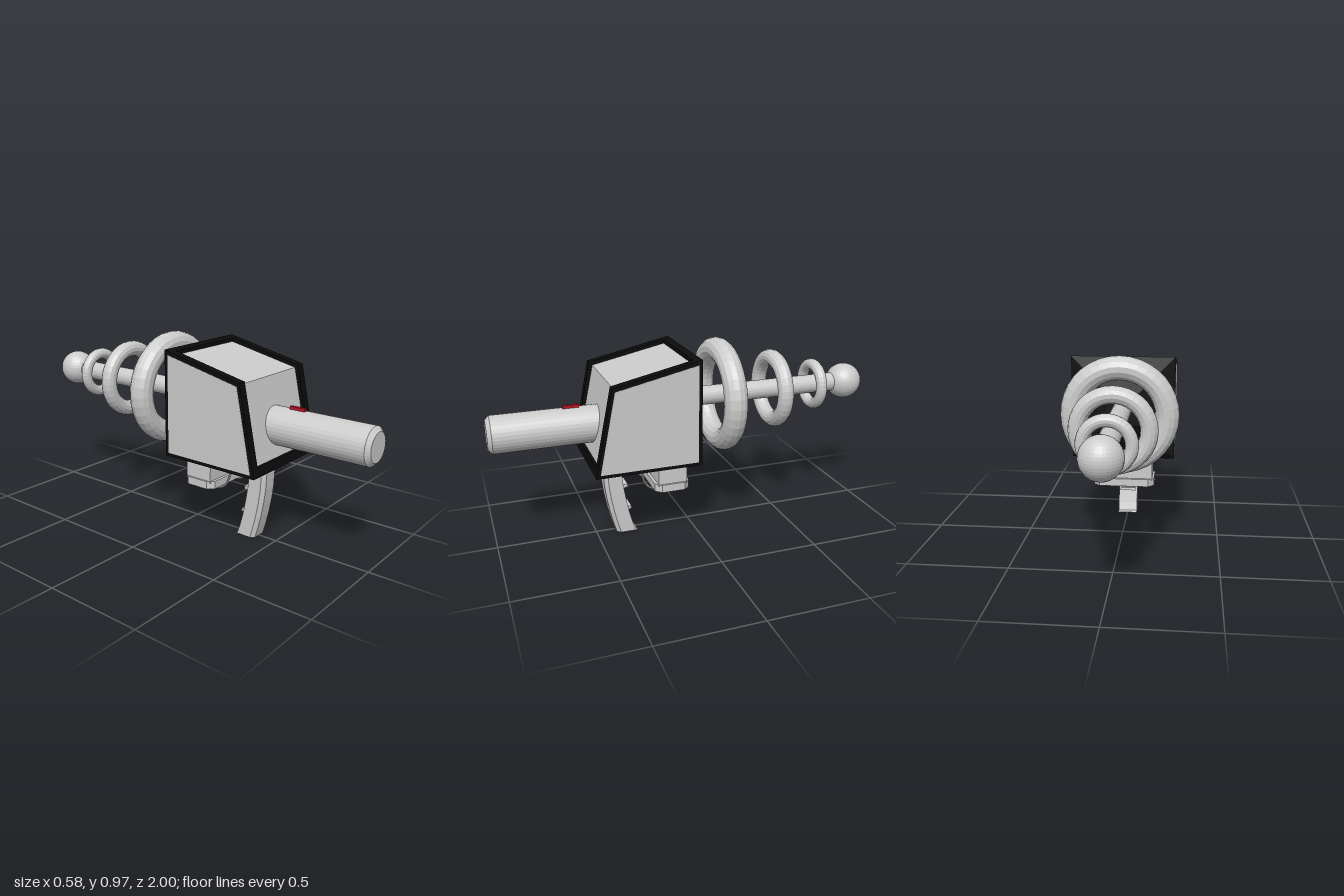
import * as THREE from 'three';

const mat = (color) => new THREE.MeshStandardMaterial({ color, flatShading: true });

export function createModel() {
  const group = new THREE.Group();
  const grey = mat(0xcccccc), black = mat(0x0b0b0b), red = mat(0xbb1122);

  const add = (name, geo, material, x = 0, y = 0, z = 0) => {
    const mesh = new THREE.Mesh(geo, material);
    mesh.name = name;
    mesh.position.set(x, y, z);
    group.add(mesh);
    return mesh;
  };
  const box = (name, m, w, h, d, x, y, z) => add(name, new THREE.BoxGeometry(w, h, d), m, x, y, z);
  // side profile given as [z, y] points, extruded across x and centred on x = 0
  const slab = (points, width) => {
    const shape = new THREE.Shape(points.map(([z, y]) => new THREE.Vector2(z, y)));
    const geo = new THREE.ExtrudeGeometry(shape, { depth: width, bevelEnabled: false });
    return geo.rotateY(-Math.PI / 2).translate(width / 2, 0, 0);
  };
  // lathe profile of [radius, z] points, turned around the z axis
  const turned = (points, sides) =>
    new THREE.LatheGeometry(points.map(([r, z]) => new THREE.Vector2(r, z)), sides).rotateX(Math.PI / 2);

  // Body: black frame with grey panels
  const outer = [[0.54, 0.413], [0.45, 0.845], [0.015, 0.94], [0.015, 0.413]];
  const panel = [[0.52, 0.43], [0.438, 0.828], [0.033, 0.917], [0.033, 0.43]];
  const core = [[0.517, 0.45], [0.433, 0.83], [0.04, 0.915], [0.04, 0.45]];
  for (const s of [-1, 1]) {
    add('sideFrame', slab(outer, 0.043), black, s * 0.2435);
    add('sidePanel', slab(panel, 0.004), grey, s * 0.2645);
  }
  add('bodyCore', slab(core, 0.444), grey);
  add('bottomPlate', slab([[0.54, 0.413], [0.531, 0.455], [0.015, 0.455], [0.015, 0.413]], 0.446), black);
  add('backPlate', slab([[0.05, 0.413], [0.05, 0.932], [0.015, 0.94], [0.015, 0.413]], 0.446), black);
  const bulge = new THREE.CylinderGeometry(0.12, 0.374, 0.033, 4, 1).rotateY(Math.PI / 4).rotateX(-Math.PI / 2);
  add('backBulge', bulge, black, 0, 0.676, -0.0015);

  // Barrel and sight
  add('barrel', turned([[0, 0.42], [0.093, 0.42], [0.093, 0.98], [0.071, 1], [0, 1]], 32), grey, 0, 0.598);
  box('sight', red, 0.017, 0.02, 0.08, 0, 0.695, 0.595);

  // Rear rod with ball and rings
  add('rod', new THREE.CylinderGeometry(0.049, 0.049, 0.87, 24).rotateX(Math.PI / 2), grey, 0, 0.68, -0.425);
  add('ball', new THREE.SphereGeometry(0.094, 32, 20), grey, 0, 0.68, -0.906);
  for (const [z, R, r] of [[-0.172, 0.233, 0.059], [-0.476, 0.164, 0.041], [-0.715, 0.106, 0.029]]) {
    add('ring', new THREE.TorusGeometry(R, r, 14, 36), grey, 0, 0.68, z);
  }

  // Curved handle: stations of [y, front z, back z] with chamfered front edges
  const stations = [[0.43, 0.459, 0.357], [0.35, 0.458, 0.367], [0.27, 0.454, 0.361], [0.2, 0.445, 0.35],
    [0.12, 0.43, 0.335], [0.05, 0.413, 0.317], [0.008, 0.401, 0.303], [0, 0.399, 0.29]];
  const w = 0.052, c = 0.035;
  const loops = stations.map(([y, f, b]) => [
    [-w, y, b], [-w, y, f - 0.02], [-c, y, f], [c, y, f], [w, y, f - 0.02], [w, y, b]]);
  const verts = [];
  for (let j = 0; j < loops.length - 1; j++) {
    const up = loops[j], low = loops[j + 1];
    for (let i = 0; i < 6; i++) {
      const k = (i + 1) % 6;
      verts.push(low[i], low[k], up[k], low[i], up[k], up[i]);
    }
  }
  const end = loops[loops.length - 1];
  for (let i = 1; i < 5; i++) verts.push(end[0], end[i + 1], end[i]);
  const handle = new THREE.BufferGeometry();
  handle.setAttribute('position', new THREE.Float32BufferAttribute(verts.flat(), 3));
  handle.computeVertexNormals();
  add('handle', handle, grey);

  // Finger grips on the back of the handle
  for (const [y, z, h] of [[0.385, 0.352, 0.045], [0.255, 0.348, 0.018], [0.13, 0.332, 0.016]]) {
    box('fingerGrip', grey, 0.085, h, 0.028, 0, y, z).rotation.x = 0.15;
  }

  // Power pack under the body, with a corner-cut base plate
  box('powerPack', grey, 0.3, 0.15, 0.15, 0, 0.35, 0.127);
  const px = 0.16, pz = 0.09, cut = 0.03;
  const plate = new THREE.Shape([[-px + cut, -pz], [px - cut, -pz], [px, -pz + cut], [px, pz - cut],
    [px - cut, pz], [-px + cut, pz], [-px, pz - cut], [-px, -pz + cut]].map((p) => new THREE.Vector2(...p)));
  const plateGeo = new THREE.ExtrudeGeometry(plate, { depth: 0.04, bevelEnabled: false }).rotateX(-Math.PI / 2);
  add('packPlate', plateGeo, grey, 0, 0.244, 0.127);

  // Terminals and wires running up into the body
  const path = new THREE.CatmullRomCurve3([[-0.006, 0.228, 0.125], [-0.004, 0.23, 0.18], [0, 0.25, 0.235],
    [0.004, 0.31, 0.266], [0.01, 0.43, 0.271]].map((p) => new THREE.Vector3(...p)));
  for (const x of [-0.078, 0.08]) {
    add('terminal', new THREE.CylinderGeometry(0.018, 0.018, 0.03, 16), grey, x, 0.234, 0.12);
    add('wire', new THREE.TubeGeometry(path, 20, 0.006, 8), grey, x);
  }
  return group;
}
